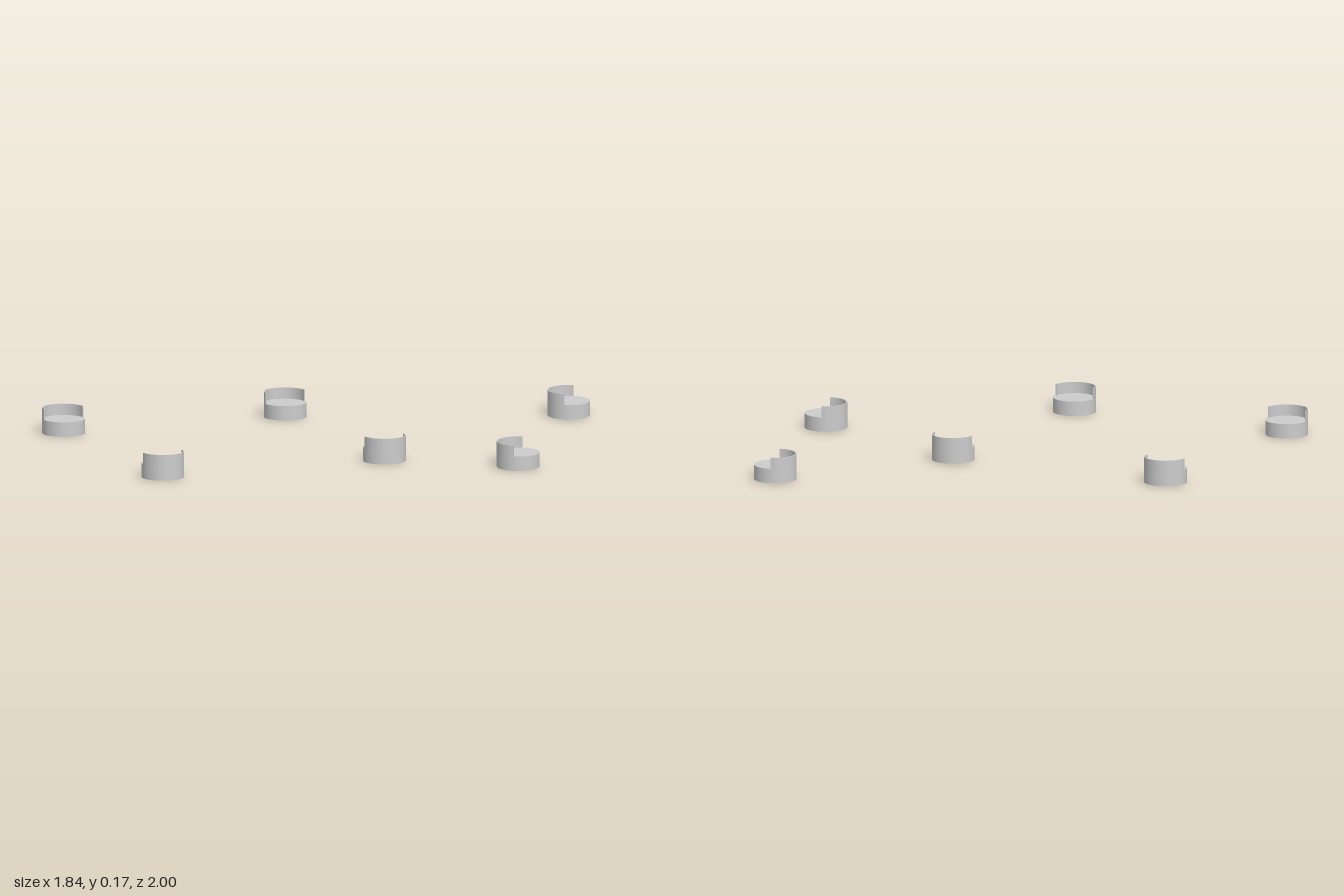
import * as THREE from 'three';
import { toCreasedNormals } from 'three/addons/utils/BufferGeometryUtils.js';

const OUTER = 0.14, INNER = 0.133;
const SEAT = 0.096, UNDERSIDE = 0.088, TOP = 0.17;

// Round cap with a skirt, hollow and open underneath
function capGeometry() {
  const profile = [
    [0, UNDERSIDE], [INNER, UNDERSIDE], [INNER, 0], [OUTER, 0], [OUTER, SEAT], [0, SEAT],
  ].map(([r, y]) => new THREE.Vector2(r, y));
  return toCreasedNormals(new THREE.LatheGeometry(profile, 64), 0.6);
}

// Thin half-round wall standing on the -z half of the cap
function lipGeometry() {
  const shape = new THREE.Shape();
  shape.absarc(0, 0, OUTER, 0, Math.PI, false);
  shape.absarc(0, 0, INNER, Math.PI, 0, true);
  shape.closePath();
  const geometry = new THREE.ExtrudeGeometry(shape, {
    depth: TOP - SEAT, bevelEnabled: false, curveSegments: 32,
  });
  geometry.rotateX(-Math.PI / 2).translate(0, SEAT, 0);
  return toCreasedNormals(geometry, 0.6);
}

export function createModel() {
  const model = new THREE.Group();
  model.name = 'footCups';
  const material = new THREE.MeshStandardMaterial({ color: 0xcccccc });
  const cap = capGeometry();
  const lip = lipGeometry();

  // One cup per corner, lips facing outward to front and back
  for (const [zName, z] of [['front', 1], ['back', -1]]) {
    for (const [xName, x] of [['Left', 1], ['Right', -1]]) {
      const cup = new THREE.Group();
      cup.name = `${zName}${xName}Cup`;
      const capMesh = new THREE.Mesh(cap, material);
      capMesh.name = 'cap';
      const lipMesh = new THREE.Mesh(lip, material);
      lipMesh.name = 'halfLip';
      cup.add(capMesh, lipMesh);
      cup.position.set(x * 0.782, 0, z * 0.86);
      if (z > 0) cup.rotation.y = Math.PI;
      model.add(cup);
    }
  }
  return model;
}
